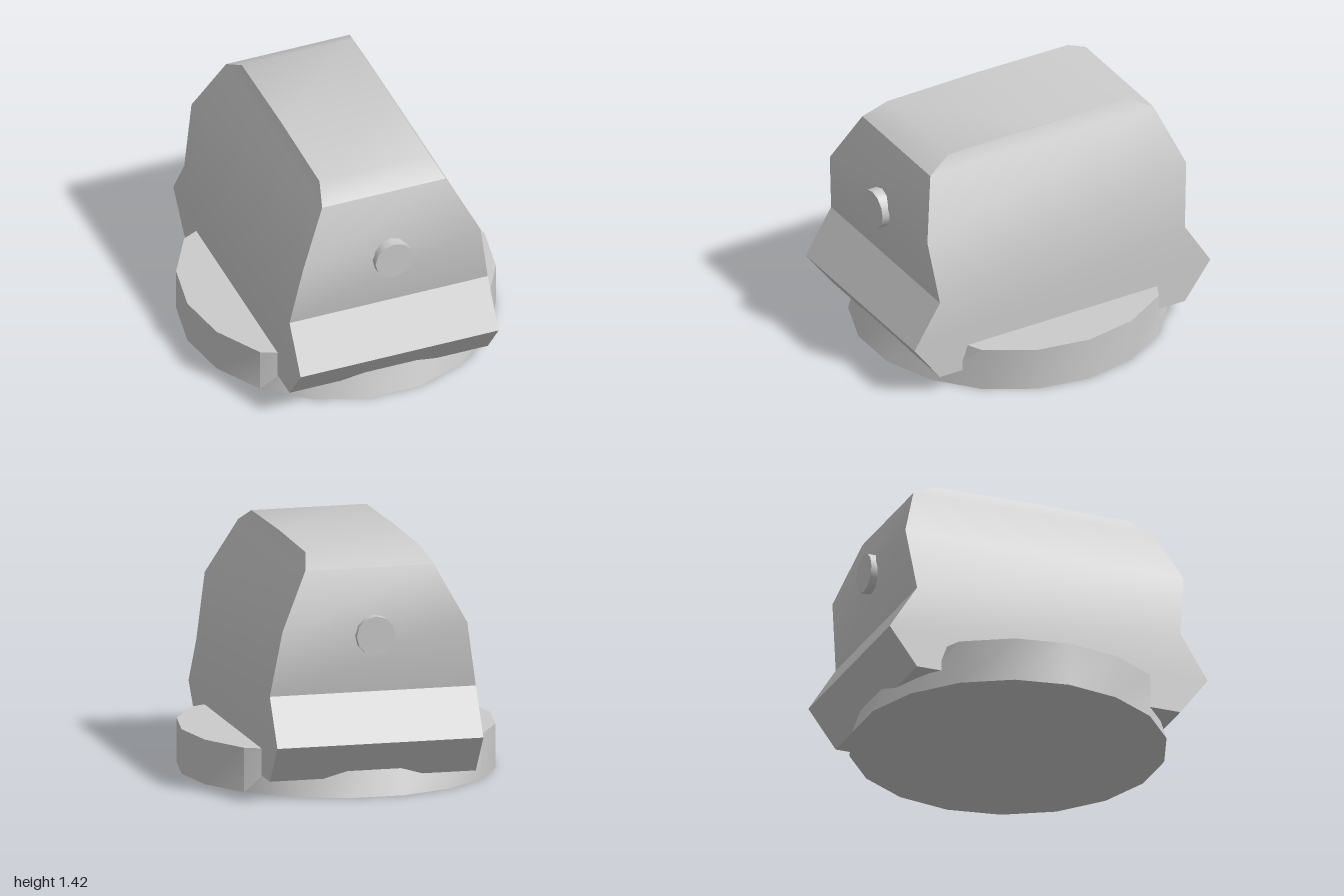
import * as THREE from 'three';
import { toCreasedNormals } from 'three/addons/utils/BufferGeometryUtils.js';

const material = new THREE.MeshStandardMaterial({ color: 0xcccccc });
const CREASE = THREE.MathUtils.degToRad(32);

function addMesh(parent, name, geometry) {
  const mesh = new THREE.Mesh(toCreasedNormals(geometry, CREASE), material);
  mesh.name = name;
  parent.add(mesh);
  return mesh;
}

// Stack of rectangular sections [y, half width, half depth], closed at the bottom.
function stackedSections(sections) {
  const positions = [];
  const index = [];
  for (const [y, hx, hz] of sections) {
    positions.push(-hx, y, hz, hx, y, hz, hx, y, -hz, -hx, y, -hz);
  }
  for (let s = 0; s < sections.length - 1; s++) {
    for (let c = 0; c < 4; c++) {
      const a = s * 4 + c;
      const b = s * 4 + ((c + 1) % 4);
      index.push(a, b, b + 4, a, b + 4, a + 4);
    }
  }
  index.push(0, 2, 1, 0, 3, 2);
  const geometry = new THREE.BufferGeometry();
  geometry.setAttribute('position', new THREE.Float32BufferAttribute(positions, 3));
  geometry.setIndex(index);
  return geometry;
}

// Eighteen-sided disc whose upper rim is pulled in at the front and back.
function baseGeometry() {
  const height = 0.265;
  const geometry = new THREE.CylinderGeometry(0.93, 0.93, height, 18, 1, false, Math.PI / 2);
  geometry.translate(0, height / 2, 0);
  const p = geometry.attributes.position;
  for (let i = 0; i < p.count; i++) {
    const z = p.getZ(i);
    if (p.getY(i) > height / 2 && Math.abs(z) > 0.7) p.setZ(i, z - Math.sign(z) * 0.095);
  }
  return geometry;
}

export function createModel() {
  const model = new THREE.Group();
  model.name = 'housingOnBase';

  addMesh(model, 'base', baseGeometry());

  // Housing with flared skirt, tapering sides and a very slightly ridged roof
  addMesh(model, 'housing', stackedSections([
    [0.105, 0.62, 0.828],
    [0.335, 0.62, 1.0],
    [0.61, 0.62, 0.828],
    [1.0, 0.556, 0.875],
    [1.33, 0.387, 0.755],
    [1.41, 0.346, 0.61],
    [1.418, 0.344, 0],
  ]));

  // Round pivot pins on the front and back
  for (const [name, side, end] of [['frontPin', 1, 0.917], ['backPin', -1, 0.907]]) {
    const length = 0.16;
    const pin = new THREE.CylinderGeometry(0.117, 0.117, length, 12);
    pin.rotateX(Math.PI / 2);
    addMesh(model, name, pin).position.set(0, 0.953, side * (end - length / 2));
  }
  return model;
}
